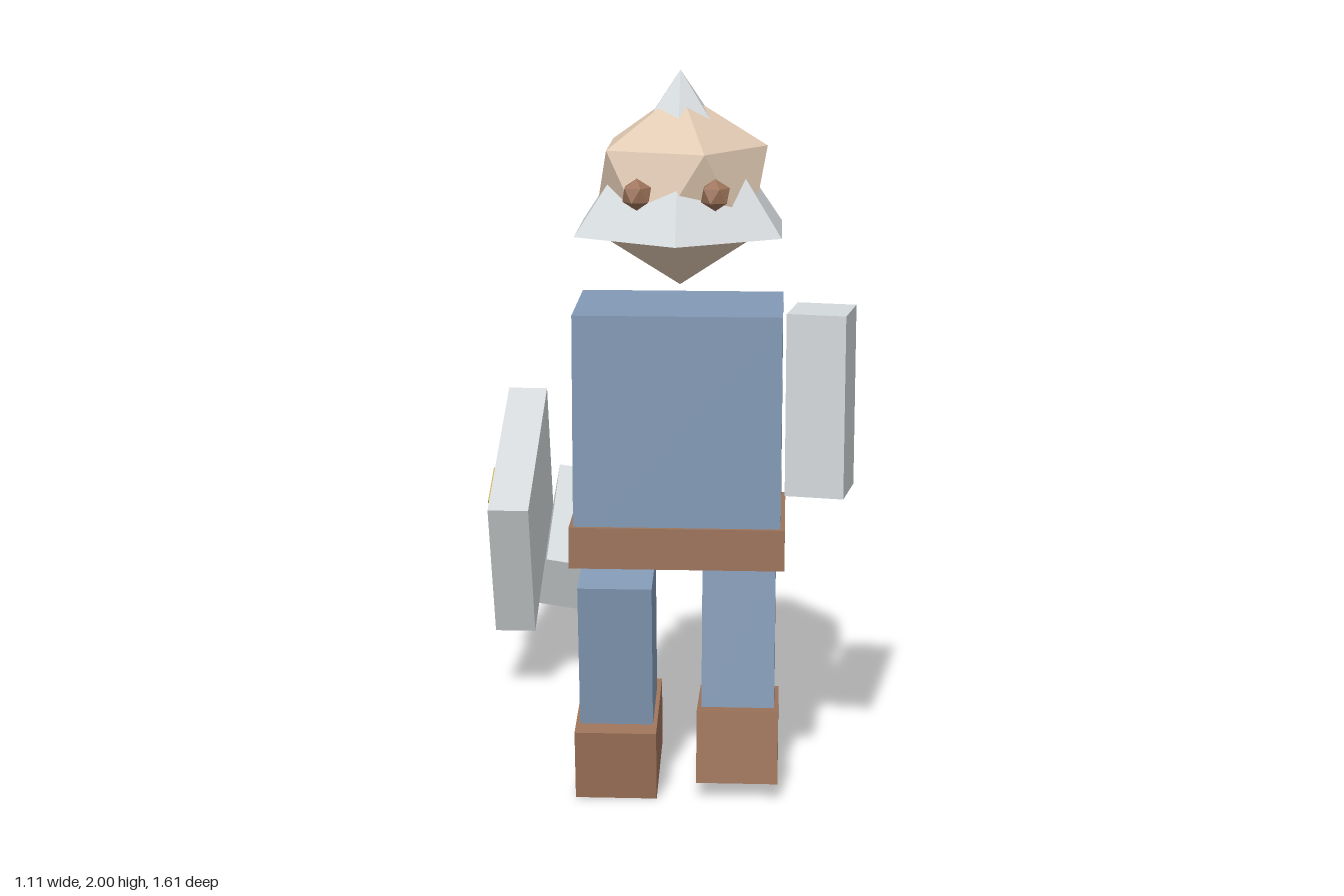
import * as THREE from 'three';

export function createModel() {
  const root = new THREE.Group();
  root.name = 'bearded shield bearer';

  const material = (name, color) => {
    const m = new THREE.MeshStandardMaterial({ color, flatShading: true });
    m.name = name;
    return m;
  };
  const blue = material('blue cloth', 0x8299b5);
  const brown = material('brown leather', 0x9d735a);
  const skin = material('skin', 0xe0c9b2);
  const grey = material('pale grey', 0xd4d9db);
  const gold = material('gold', 0xc8b060);

  const add = (parent, name, geometry, mat, x, y, z) => {
    const mesh = new THREE.Mesh(geometry, mat);
    mesh.name = name;
    mesh.position.set(x, y, z);
    parent.add(mesh);
    return mesh;
  };
  const box = (parent, name, mat, size, pos) =>
    add(parent, name, new THREE.BoxGeometry(...size), mat, ...pos);

  // Icosahedron turned so that a corner points straight up
  const gem = (r) =>
    new THREE.IcosahedronGeometry(r, 0).rotateZ(-Math.atan(2 / (1 + Math.sqrt(5))));

  const CX = 0.073, CZ = 0.487;

  // Torso and belt
  box(root, 'torso', blue, [0.56, 0.63, 0.381], [CX, 1.052, CZ]);
  box(root, 'belt', brown, [0.583, 0.114, 0.405], [CX, 0.73, CZ]);

  // Head, with a six-sided cone that forms the hair tip and the skirt of hair
  add(root, 'head', gem(0.262), skin, CX, 1.682, CZ);
  add(root, 'hair', new THREE.ConeGeometry(0.317, 0.428, 6), grey, CX, 1.786, CZ);
  for (const side of [-1, 1]) {
    add(root, side > 0 ? 'leftEye' : 'rightEye', gem(0.042), brown, CX + side * 0.102, 1.7, 0.738);
  }

  // Legs in mid-stride, each with its boot
  const legs = [
    { name: 'left', x: 0.239, z: 0.44, tilt: -0.115, bootZ: 0.472, bootY: 0.128 },
    { name: 'right', x: -0.095, z: 0.548, tilt: 0.152, bootZ: 0.502, bootY: 0.123 },
  ];
  for (const l of legs) {
    box(root, l.name + 'Leg', blue, [0.202, 0.415, 0.218], [l.x, 0.427, l.z]).rotation.x = l.tilt;
    box(root, l.name + 'Boot', brown, [0.225, 0.203, 0.325], [l.x, l.bootY, l.bootZ]).rotation.x = l.tilt;
  }

  // Hanging left arm
  box(root, 'leftArm', grey, [0.162, 0.506, 0.175], [0.458, 1.101, 0.485]).rotation.y = -0.18;

  // Detached right arm carrying the shield with its gold boss
  const shieldArm = new THREE.Group();
  shieldArm.name = 'shieldArm';
  shieldArm.position.set(0, 0.54, -0.411);
  shieldArm.rotation.x = 0.37;
  root.add(shieldArm);
  box(shieldArm, 'shield', grey, [0.122, 0.461, 0.661], [-0.464, 0, 0]);
  box(shieldArm, 'shieldBoss', gold, [0.06, 0.177, 0.177], [-0.527, 0, 0]);
  box(shieldArm, 'rightArm', grey, [0.162, 0.175, 0.506], [-0.307, -0.152, -0.052]).rotation.z = -0.18;

  return root;
}
